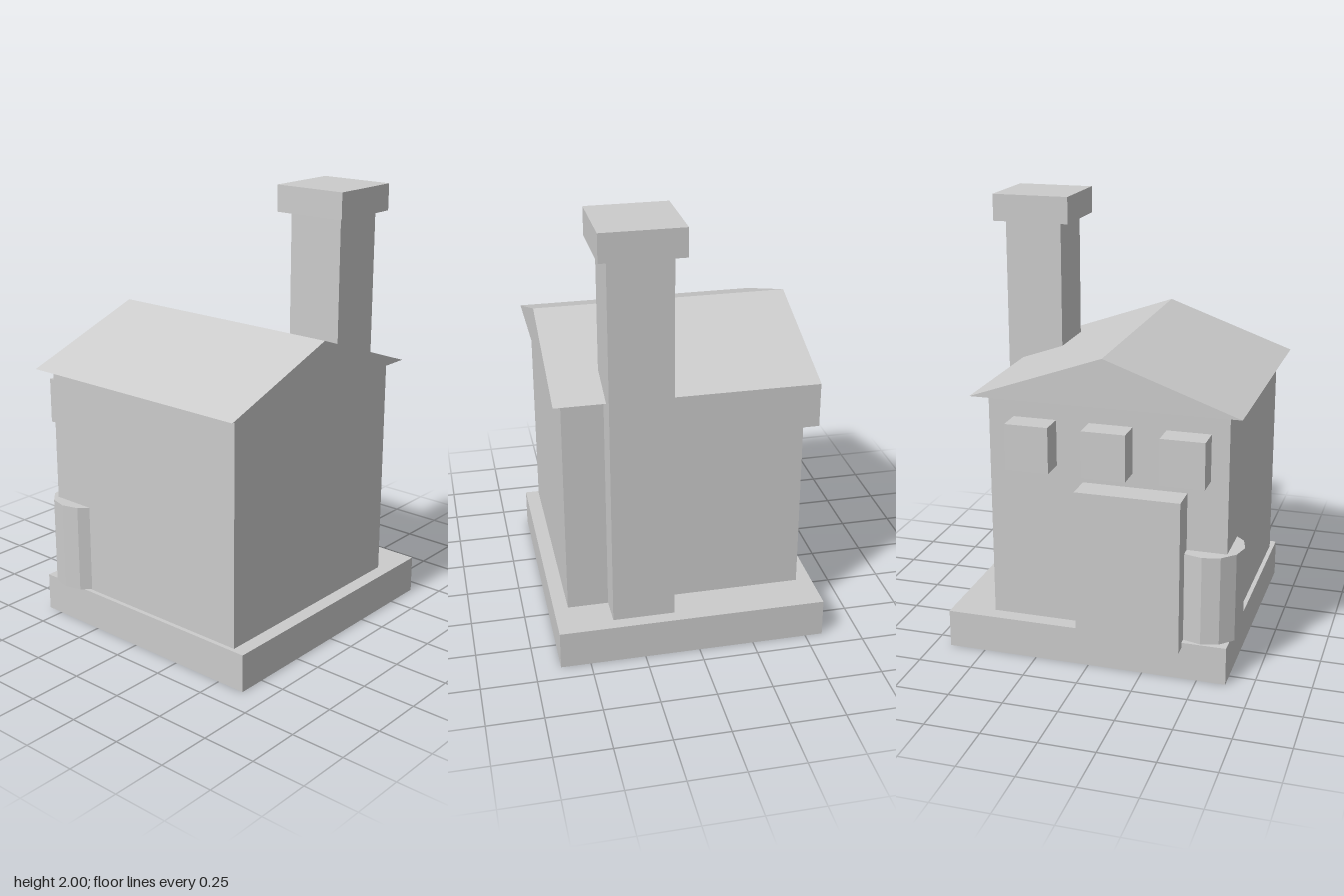
import * as THREE from 'three';

const material = new THREE.MeshStandardMaterial({ color: 0xcccccc, flatShading: true });

export function createModel() {
  const house = new THREE.Group();
  house.name = 'house';

  const add = (name, geometry) => {
    const mesh = new THREE.Mesh(geometry, material);
    mesh.name = name;
    house.add(mesh);
    return mesh;
  };

  // Box given by its extents on each axis
  const box = (name, [x0, x1], [y0, y1], [z0, z1]) =>
    add(name, new THREE.BoxGeometry(x1 - x0, y1 - y0, z1 - z0))
      .position.set((x0 + x1) / 2, (y0 + y1) / 2, (z0 + z1) / 2);

  // Foundation slab and walls
  box('foundation', [-0.63, 0.67], [0, 0.175], [-0.58, 0.635]);
  box('walls', [-0.61, 0.47], [0.175, 1.215], [-0.51, 0.57]);

  // Gabled roof: solid triangular prism along z
  const gable = new THREE.Shape([
    new THREE.Vector2(-0.67, 1.215),
    new THREE.Vector2(0.54, 1.215),
    new THREE.Vector2(-0.065, 1.43),
  ]);
  add('roof', new THREE.ExtrudeGeometry(gable, { depth: 1.17, bevelEnabled: false }))
    .position.z = -0.56;

  // Chimney stack and cap
  box('chimneyStack', [0.34, 0.61], [0.175, 1.875], [0.105, 0.385]);
  box('chimneyCap', [0.29, 0.655], [1.875, 2], [0.06, 0.425]);

  // Door and the row of windows above it
  box('door', [-0.43, 0.04], [0.15, 0.85], [-0.635, -0.5]);
  [-0.433, -0.088, 0.257].forEach((x, i) =>
    box(`window${i + 1}`, [x - 0.098, x + 0.098], [0.915, 1.125], [-0.625, -0.5]));

  // Twelve-sided barrel set into the wall corner beside the door
  add('barrel', new THREE.CylinderGeometry(0.157, 0.157, 0.41, 12))
    .position.set(-0.513, 0.383, -0.42);

  return house;
}
